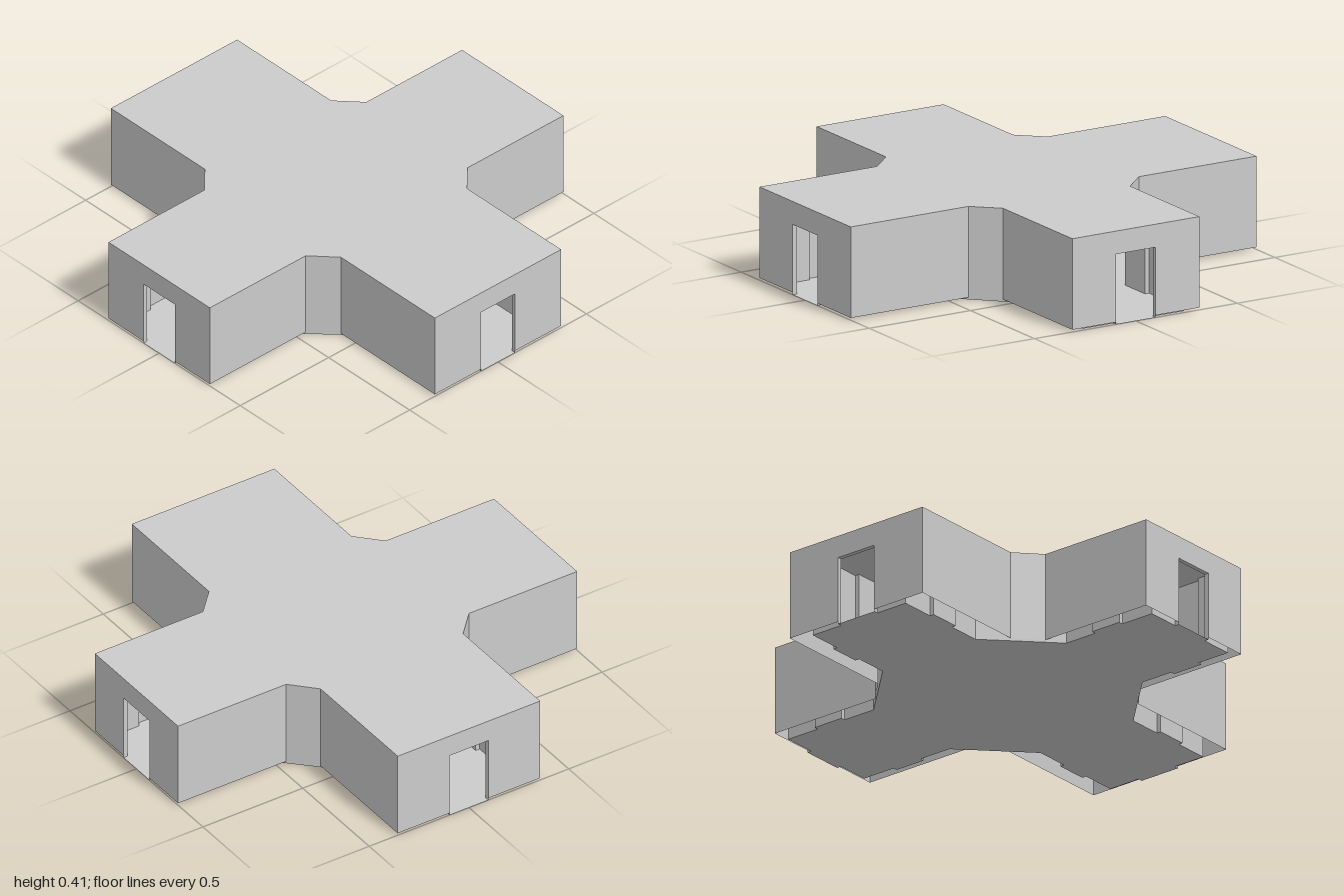
import * as THREE from 'three';
import { mergeGeometries } from 'three/addons/utils/BufferGeometryUtils.js';

const DOOR_HALF = 0.097, DOOR_TOP = 0.305;
const ROOF_Y = 0.405, CEILING_Y = 0.39, WALL_BASE = 0.01;
const OUTER_END = 1, INNER_END = 0.98;

// Mirrors one quarter of a cross-shaped plan around both axes into a closed loop.
function mirrorPlan(quarter) {
  const loop = [];
  for (const [sx, sz, flip] of [[1, 1, false], [-1, 1, true], [-1, -1, false], [1, -1, true]]) {
    const points = quarter.map(([x, z]) => [x * sx, z * sz]);
    loop.push(...(flip ? points.reverse() : points));
  }
  return loop;
}

// One upright wall from a to b; walls centred on an axis are arm ends and get a doorway.
function wallPanel(a, b, y0, y1) {
  const dx = b[0] - a[0], dz = b[1] - a[1], length = Math.hypot(dx, dz);
  const hasDoor = Math.abs(a[0] + b[0]) < 1e-6 || Math.abs(a[1] + b[1]) < 1e-6;
  const corners = [[0, y0]];
  if (hasDoor) {
    const l = length / 2 - DOOR_HALF, r = length / 2 + DOOR_HALF;
    corners.push([l, y0], [l, DOOR_TOP], [r, DOOR_TOP], [r, y0]);
  }
  corners.push([length, y0], [length, y1], [0, y1]);
  const shape = new THREE.Shape(corners.map(([x, y]) => new THREE.Vector2(x, y)));
  return new THREE.ShapeGeometry(shape)
    .rotateY(-Math.atan2(dz, dx))
    .translate(a[0], 0, a[1]);
}

function wallRing(plan, y0, y1) {
  return mergeGeometries(plan.map((p, i) => wallPanel(p, plan[(i + 1) % plan.length], y0, y1)));
}

// Flat horizontal sheet with the outline of a plan.
function slab(plan, y, faceDown = false) {
  const shape = new THREE.Shape(plan.map(([x, z]) => new THREE.Vector2(x, faceDown ? z : -z)));
  return new THREE.ShapeGeometry(shape)
    .rotateX(faceDown ? Math.PI / 2 : -Math.PI / 2)
    .translate(0, y, 0);
}

// Jambs, head and threshold joining the outer and inner end walls.
function doorLining() {
  const depth = OUTER_END - INNER_END, mid = (OUTER_END + INNER_END) / 2;
  const parts = [];
  for (const side of [-1, 1]) {
    parts.push(new THREE.PlaneGeometry(depth, DOOR_TOP)
      .rotateY(-side * Math.PI / 2)
      .translate(side * DOOR_HALF, DOOR_TOP / 2, mid));
  }
  parts.push(new THREE.PlaneGeometry(DOOR_HALF * 2, depth)
    .rotateX(Math.PI / 2).translate(0, DOOR_TOP, mid));
  parts.push(new THREE.PlaneGeometry(DOOR_HALF * 2, depth)
    .rotateX(-Math.PI / 2).translate(0, 0, mid));
  return mergeGeometries(parts);
}

export function createModel() {
  const group = new THREE.Group();
  group.name = 'crossCorridor';
  const material = new THREE.MeshStandardMaterial({
    color: 0xcccccc, side: THREE.DoubleSide, flatShading: true,
  });
  const add = (name, geometry) => {
    const mesh = new THREE.Mesh(geometry, material);
    mesh.name = name;
    group.add(mesh);
    return mesh;
  };

  // Outer shell with bevelled inside corners, open underneath
  const outer = mirrorPlan([[OUTER_END, 0.357], [0.42, 0.357], [0.313, 0.458], [0.313, OUTER_END]]);
  add('outerWalls', wallRing([...outer].reverse(), WALL_BASE, ROOF_Y));
  add('roof', slab(outer, ROOF_Y));

  // Inner corridors, each arm with a shallow wall recess on both sides
  const arm = [[INNER_END, 0.25], [0.82, 0.25], [0.82, 0.27], [0.675, 0.27], [0.675, 0.25], [0.52, 0.25]];
  const inner = mirrorPlan([...arm, ...arm.map(([x, z]) => [z, x]).reverse()]);
  add('innerWalls', wallRing(inner, 0, CEILING_Y));
  add('floor', slab(inner, 0));
  add('ceiling', slab(inner, CEILING_Y, true));

  // Doorway linings at the four arm ends
  const lining = doorLining();
  ['frontDoorway', 'leftDoorway', 'backDoorway', 'rightDoorway'].forEach((name, i) => {
    add(name, lining).rotation.y = i * Math.PI / 2;
  });

  return group;
}
